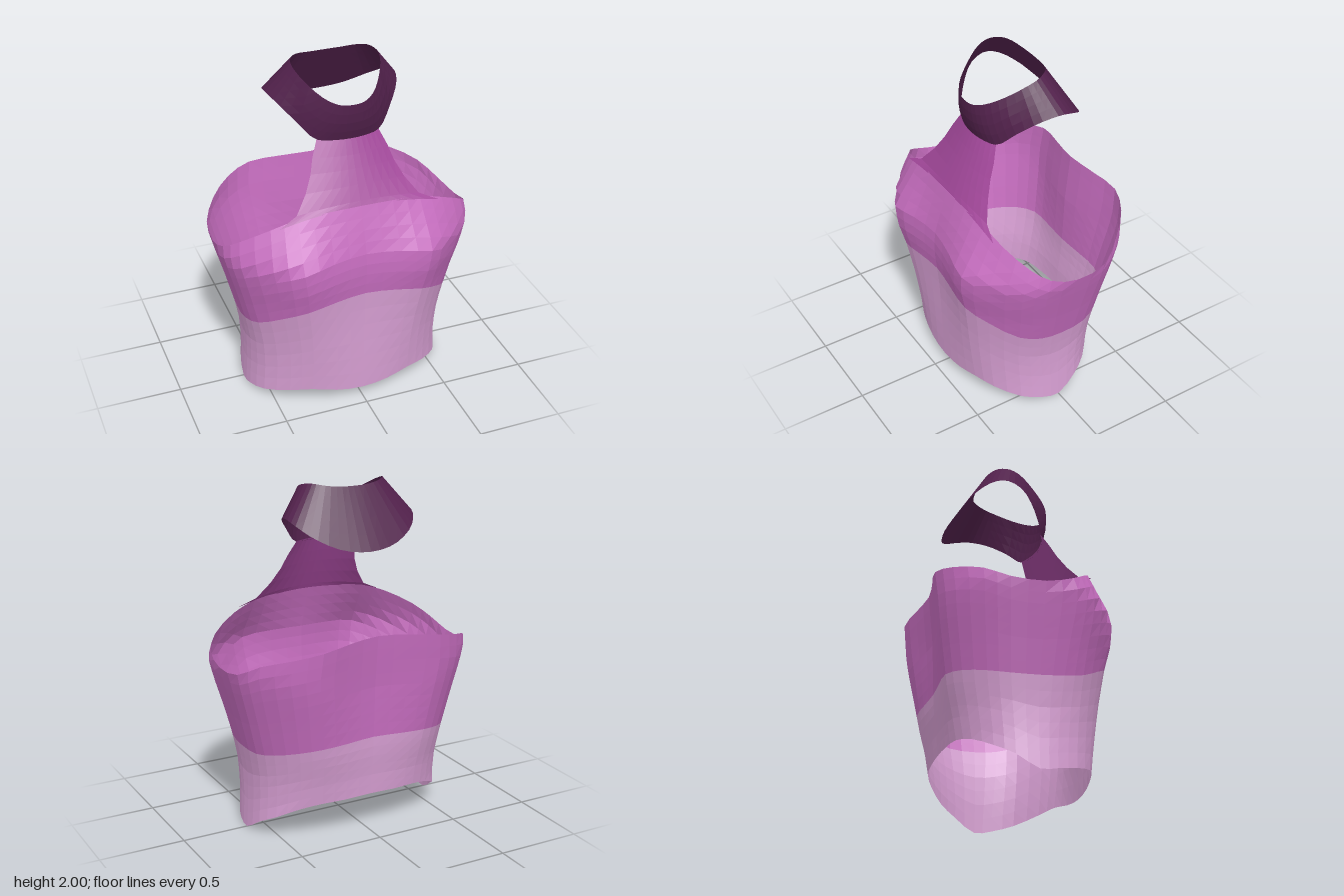
import * as THREE from 'three';

const V = (x, y, z) => new THREE.Vector3(x, y, z);

const material = (name, color) => {
  const m = new THREE.MeshStandardMaterial({ color, side: THREE.DoubleSide, flatShading: true });
  m.name = name;
  return m;
};

// Piecewise-linear lookup in a list of [y, value]
function lookup(table, y) {
  if (y <= table[0][0]) return table[0][1];
  for (let i = 1; i < table.length; i++) {
    const [y0, v0] = table[i - 1], [y1, v1] = table[i];
    if (y <= y1) return v0 + (v1 - v0) * (y - y0) / (y1 - y0);
  }
  return table[table.length - 1][1];
}

// Mirrors a half outline (front centre to back centre) into a smooth closed ring
function ring(half, segments = 48) {
  const mirrored = half.slice(1, -1).reverse().map(p => V(-p.x, p.y, p.z));
  const curve = new THREE.CatmullRomCurve3([...half, ...mirrored], true);
  return Array.from({ length: segments + 1 }, (_, i) => curve.getPoint((i % segments) / segments));
}

// Skins rows of points, listed from bottom to top
function skin(name, rows, mat) {
  const n = rows[0].length, index = [];
  for (let r = 0; r < rows.length - 1; r++) {
    for (let c = 0; c < n - 1; c++) {
      const a = r * n + c, d = a + n;
      index.push(a, a + 1, d + 1, a, d + 1, d);
    }
  }
  const g = new THREE.BufferGeometry().setFromPoints(rows.flat());
  g.setIndex(index);
  g.computeVertexNormals();
  const mesh = new THREE.Mesh(g, mat);
  mesh.name = name;
  return mesh;
}

// Half widths and depths of the torso by height
const WIDTH = [[0, 0.605], [0.2, 0.592], [0.35, 0.595], [0.5, 0.62], [0.7, 0.67], [0.9, 0.725], [1, 0.75], [1.08, 0.738], [1.25, 0.71]];
const FRONT = [[0.08, 0.43], [0.5, 0.465], [0.7, 0.487], [0.86, 0.518], [0.99, 0.52], [1.24, 0.39], [1.28, 0.375]];
const BACK = [[0.2, 0.39], [0.35, 0.41], [0.5, 0.44], [0.8, 0.475], [1.1, 0.51], [1.2, 0.52]];

// Chest outline x, z, then heights of the hem, colour seam and top rim
const COLUMNS = [
  [0, 0.47, 0.06, 0.75, 1.275],
  [0.2, 0.495, 0.075, 0.74, 1.27],
  [0.38, 0.515, 0.1, 0.71, 1.25],
  [0.53, 0.43, 0.085, 0.645, 1.2],
  [0.68, 0.3, 0.045, 0.56, 1.115],
  [0.74, 0.18, 0.015, 0.525, 1.05],
  [0.75, 0, 0, 0.51, 1],
  [0.73, -0.2, 0.075, 0.51, 1.01],
  [0.66, -0.33, 0.13, 0.53, 1.08],
  [0.53, -0.46, 0.19, 0.56, 1.13],
  [0.38, -0.52, 0.22, 0.58, 1.165],
  [0.2, -0.49, 0.225, 0.585, 1.185],
  [0, -0.46, 0.23, 0.59, 1.195],
];

// Oval waist that blends into the dented chest outline
function torsoPoint([px, pz], y) {
  const clamp = THREE.MathUtils.clamp;
  const nx = px / 0.75;
  const oval = Math.pow(1 - Math.pow(nx, 2.4), 1 / 2.4);
  let t = clamp((y - 0.1) / 0.8, 0, 1);
  if (pz > 0 && y > 1) t = clamp(1 - (y - 1) / 0.25, 0, 1);
  const depth = lookup(pz > 0 ? FRONT : BACK, y);
  const z = THREE.MathUtils.lerp(oval, Math.abs(pz) / 0.52, t) * depth * Math.sign(pz);
  return V(nx * lookup(WIDTH, y), y, z);
}

function torsoRows(from, to, steps) {
  return Array.from({ length: steps + 1 }, (_, i) =>
    ring(COLUMNS.map(c => torsoPoint(c, c[from] + (c[to] - c[from]) * i / steps))));
}

export function createModel() {
  const model = new THREE.Group();
  model.name = 'halterTop';
  const lilac = material('pale lilac', 0xd79fd3);
  const orchid = material('orchid', 0xc66dbf);
  const purple = material('purple', 0xa3489b);
  const plum = material('dark plum', 0x52214c);

  model.add(skin('waistPanel', torsoRows(2, 3, 6), lilac));
  model.add(skin('chestPanel', torsoRows(3, 4, 8), orchid));

  // Bib: half width, centre height, centre z, drop in height and z at the edges
  const bib = [
    [0.47, 1.275, 0.375, 0.06, 0.01],
    [0.36, 1.3, 0.362, 0.035, 0.025],
    [0.29, 1.38, 0.322, 0.02, 0.035],
    [0.245, 1.46, 0.283, 0.01, 0.04],
    [0.22, 1.53, 0.25, 0, 0.045],
    [0.18, 1.62, 0.21, 0, 0.045],
  ].map(([w, y, z, dy, dz]) => Array.from({ length: 13 }, (_, i) => {
    const u = i / 6 - 1;
    return V(u * w, y - dy * u * u, z - dz * u * u);
  }));
  model.add(skin('bib', bib, purple));

  // Collar: matching lower and upper edges, front centre to back centre
  const lower = ring([
    V(0, 1.61, 0.213), V(0.1, 1.61, 0.2), V(0.19, 1.62, 0.165), V(0.275, 1.71, 0.1), V(0.355, 1.795, 0),
    V(0.385, 1.82, -0.11), V(0.37, 1.795, -0.2), V(0.3, 1.735, -0.29), V(0.16, 1.67, -0.352), V(0, 1.65, -0.375),
  ]);
  const upper = ring([
    V(0, 1.83, 0.25), V(0.07, 1.835, 0.24), V(0.135, 1.86, 0.2), V(0.2, 1.91, 0.115), V(0.245, 1.965, 0.02),
    V(0.25, 1.99, -0.05), V(0.22, 1.998, -0.11), V(0.17, 1.99, -0.15), V(0.09, 1.98, -0.17), V(0, 1.978, -0.175),
  ]);
  const collar = [0, 0.25, 0.5, 0.75, 1].map(t => lower.map((p, i) => p.clone().lerp(upper[i], t)));
  // Slight fullness at the throat
  collar.forEach((row, r) => row.forEach(p => {
    if (p.z > 0.1) p.z += 0.012 * Math.sin(Math.PI * r / 4);
  }));
  model.add(skin('collar', collar, plum));

  return model;
}
